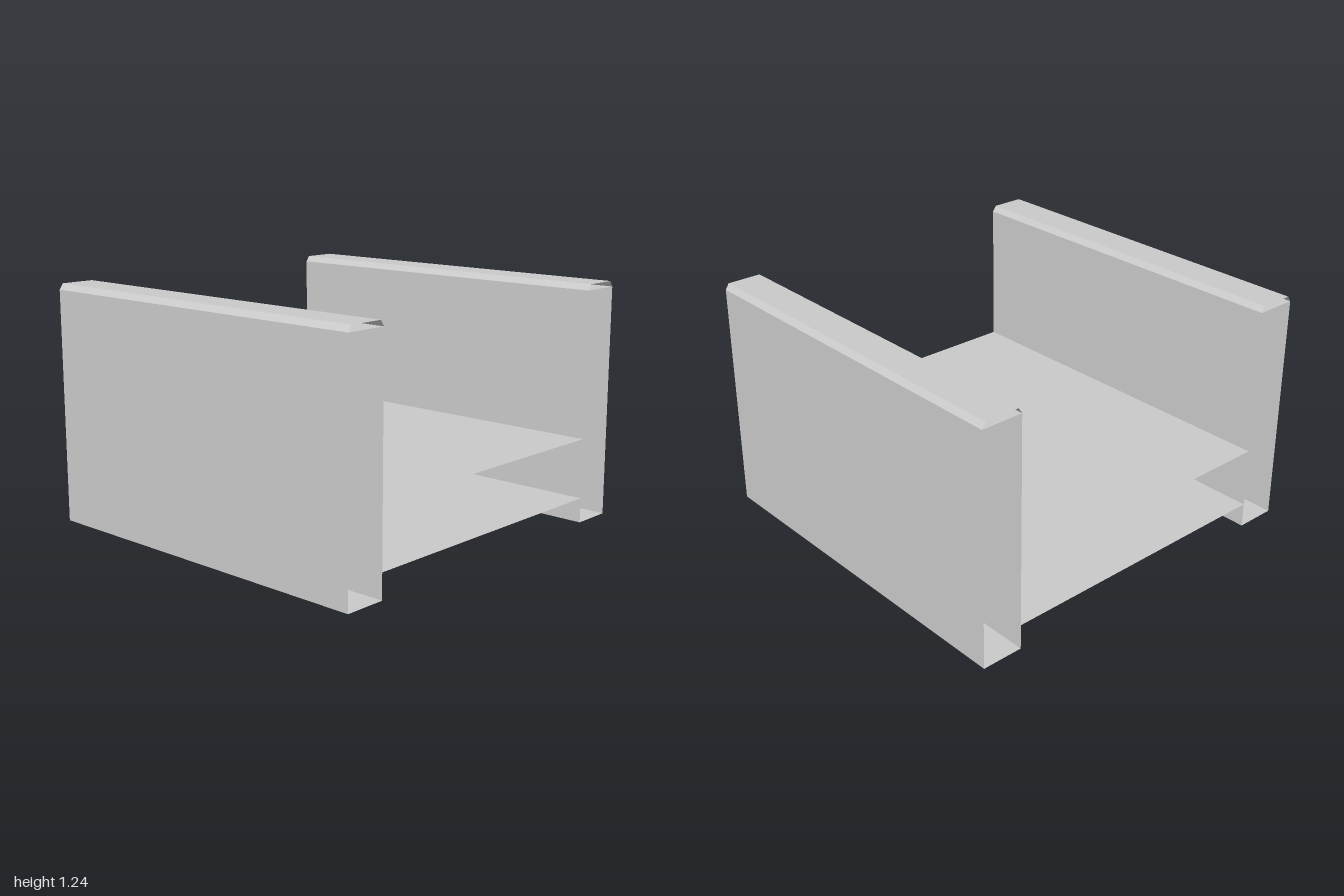
import * as THREE from 'three';

const HALF_DEPTH = 0.985;
const material = new THREE.MeshStandardMaterial({
  color: 0xcccccc, flatShading: true, side: THREE.DoubleSide,
});

// Sweep an [x, y] profile along z as thin sheets with open ends.
// Counterclockwise profiles face outward.
function sweep(name, profile, closed = false) {
  const positions = [];
  const count = closed ? profile.length : profile.length - 1;
  for (let i = 0; i < count; i++) {
    const [ax, ay] = profile[i];
    const [bx, by] = profile[(i + 1) % profile.length];
    const aFront = [ax, ay, HALF_DEPTH], aBack = [ax, ay, -HALF_DEPTH];
    const bFront = [bx, by, HALF_DEPTH], bBack = [bx, by, -HALF_DEPTH];
    positions.push(...aFront, ...aBack, ...bBack, ...aFront, ...bBack, ...bFront);
  }
  const geometry = new THREE.BufferGeometry();
  geometry.setAttribute('position', new THREE.Float32BufferAttribute(positions, 3));
  geometry.computeVertexNormals();
  const mesh = new THREE.Mesh(geometry, material);
  mesh.name = name;
  return mesh;
}

// Hollow side panel with a bevelled cap, open at front and back
function sidePanel(name, centerX) {
  const w = 0.11, bevel = 0.02, bodyTop = 1.21, top = 1.24;
  const panel = new THREE.Group();
  panel.name = name;
  panel.add(
    sweep('panelBody', [[-w, 0], [w, 0], [w, bodyTop], [-w, bodyTop]], true),
    sweep('panelCap', [[w, bodyTop], [w - bevel, top], [bevel - w, top], [-w, bodyTop]]),
  );
  panel.position.x = centerX;
  return panel;
}

export function createModel() {
  const model = new THREE.Group();
  model.name = 'shelfUnit';
  model.add(sidePanel('leftPanel', 0.89), sidePanel('rightPanel', -0.89));

  // Thin shelves spanning between the panels
  for (const [name, y] of [['upperShelf', 0.445], ['lowerShelf', 0.13]]) {
    model.add(sweep(name, [[0.78, y], [-0.78, y]]));
  }
  return model;
}
